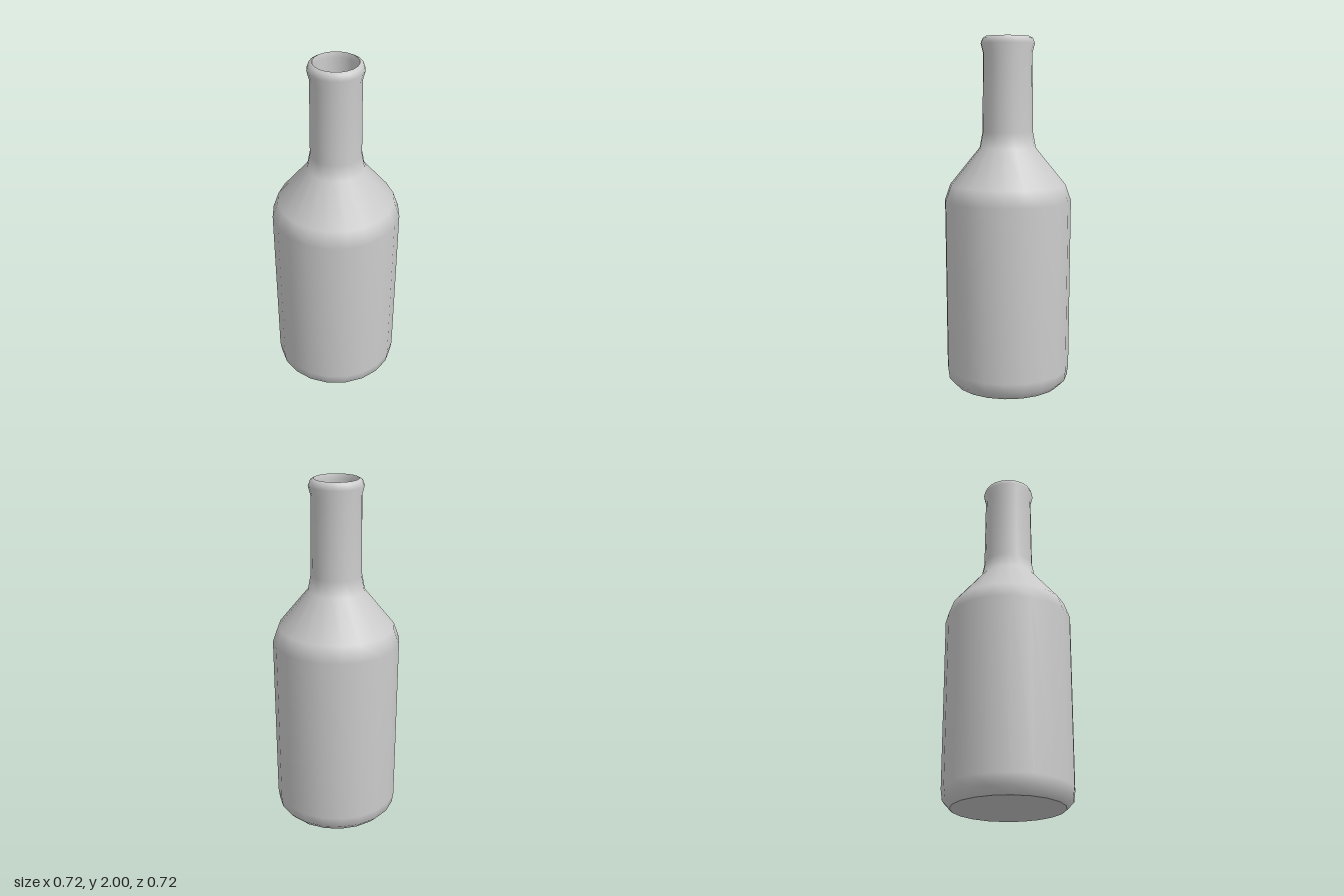
import * as THREE from 'three';

const SIDES = 20;

export function createModel() {
  const group = new THREE.Group();
  const material = new THREE.MeshStandardMaterial({ color: 0xcccccc });

  // Adds one smooth turned surface; separate surfaces meet in a sharp edge
  const turn = (name, profile) => {
    const points = profile.map(([r, y]) => new THREE.Vector2(r, y));
    const mesh = new THREE.Mesh(new THREE.LatheGeometry(points, SIDES), material);
    mesh.name = name;
    group.add(mesh);
  };

  // Flat underside
  turn('base', [[0, 0], [0.31, 0]]);

  // Body, sloping shoulder, neck and rolled lip
  turn('outerWall', [
    [0.31, 0], [0.349, 0.04], [0.357, 0.1], [0.362, 1.08],
    [0.33, 1.17], [0.16, 1.38], [0.143, 1.47], [0.139, 1.91],
    [0.152, 1.96], [0.141, 1.99], [0.123, 2],
  ]);

  // Inside of the mouth, neck and hollow body
  turn('innerWall', [
    [0.123, 2], [0.115, 1.97], [0.115, 1.47], [0.135, 1.37],
    [0.305, 1.16], [0.335, 1.07], [0.33, 0.1], [0.29, 0.03],
  ]);

  // Floor seen through the mouth
  turn('innerFloor', [[0.29, 0.03], [0, 0.03]]);

  return group;
}
